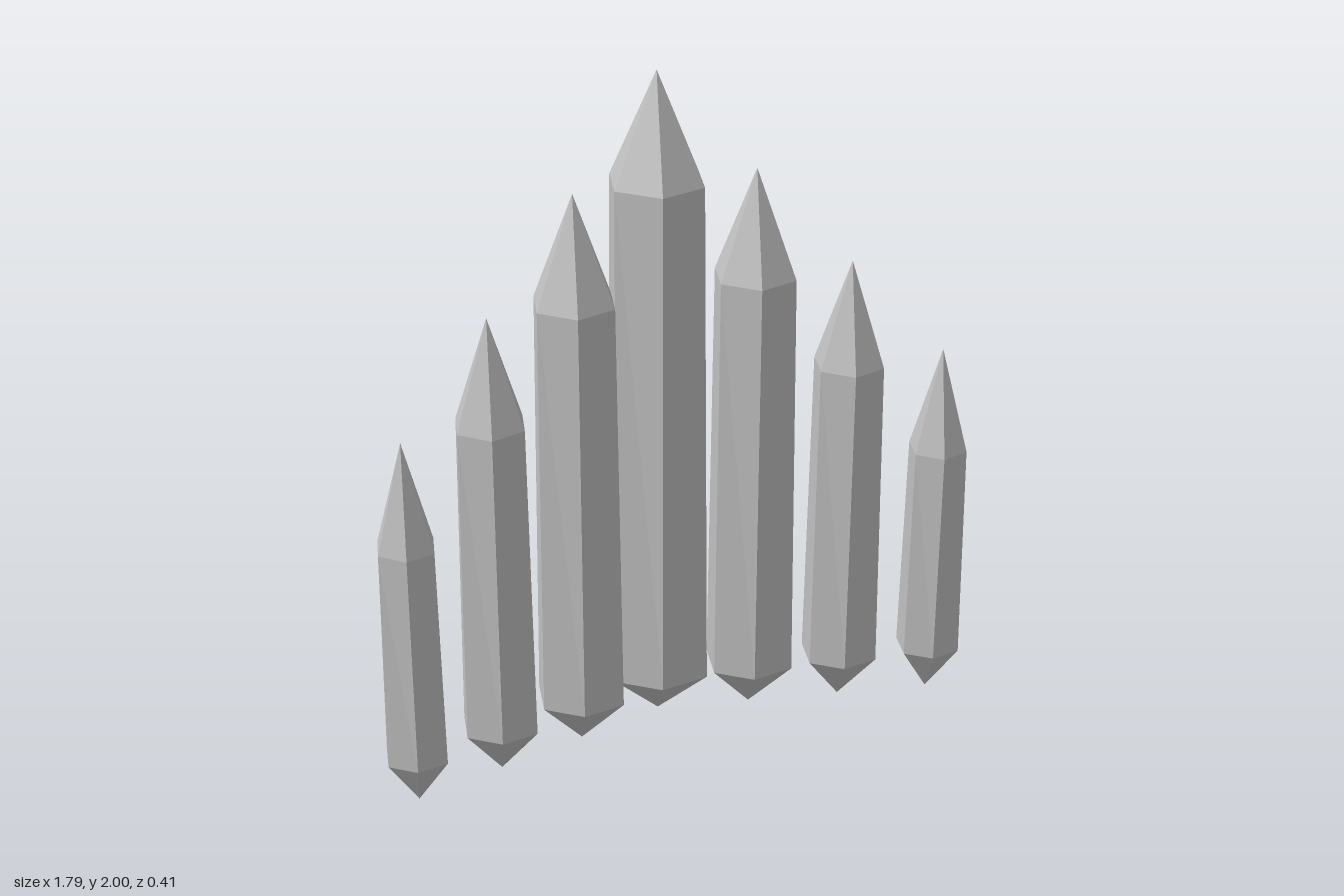
import * as THREE from 'three';

const crystalGrey = new THREE.MeshStandardMaterial({ color: 0xc0c0c0 });
crystalGrey.name = 'crystalGrey';

const SIDES = 6;
const BASE_Y = 0.145;
// Slightly uneven hexagon at the foot, even and narrower at the shoulder
const FOOT = [1.02, 1.06, 0.92];
const SHOULDER = [0.945, 0.945, 0.945];

function ring(radius, factors, y) {
  return Array.from({ length: SIDES }, (_, i) => {
    const a = THREE.MathUtils.degToRad(-15 + i * 60);
    const r = radius * factors[i % 3];
    return [r * Math.cos(a), y, r * Math.sin(a)];
  });
}

// Six-sided shaft with a short lower point and a long upper point
function crystalGeometry(radius, shoulderY, height) {
  const foot = ring(radius, FOOT, BASE_Y);
  const top = ring(radius, SHOULDER, shoulderY);
  const tip = [0, 0, 0];
  const apex = [0, height, 0];
  const positions = [];
  const tri = (a, b, c) => positions.push(...a, ...b, ...c);
  for (let i = 0; i < SIDES; i++) {
    const j = (i + 1) % SIDES;
    tri(tip, foot[i], foot[j]);
    tri(foot[i], top[i], top[j]);
    tri(foot[i], top[j], foot[j]);
    tri(top[i], apex, top[j]);
  }
  const geometry = new THREE.BufferGeometry();
  geometry.setAttribute('position', new THREE.Float32BufferAttribute(positions, 3));
  geometry.computeVertexNormals();
  return geometry;
}

export function createModel() {
  const model = new THREE.Group();
  model.name = 'crystalRow';

  // Sizes from the centre of the arc outwards
  const sizes = [
    { name: 'centreCrystal', x: 0, z: -0.072, radius: 0.15, height: 2.0 },
    { name: 'innerCrystal', x: 0.268, z: -0.005, radius: 0.129, height: 1.71 },
    { name: 'middleCrystal', x: 0.537, z: 0.057, radius: 0.111, height: 1.42 },
    { name: 'outerCrystal', x: 0.805, z: 0.119, radius: 0.092, height: 1.13 },
  ];

  for (const { name, x, z, radius, height } of sizes) {
    const geometry = crystalGeometry(radius, height - 0.313, height);
    for (const side of x === 0 ? [1] : [1, -1]) {
      const crystal = new THREE.Mesh(geometry, crystalGrey);
      crystal.name = x === 0 ? name : name + (side > 0 ? 'Left' : 'Right');
      crystal.position.set(side * x, 0, z);
      model.add(crystal);
    }
  }
  return model;
}
